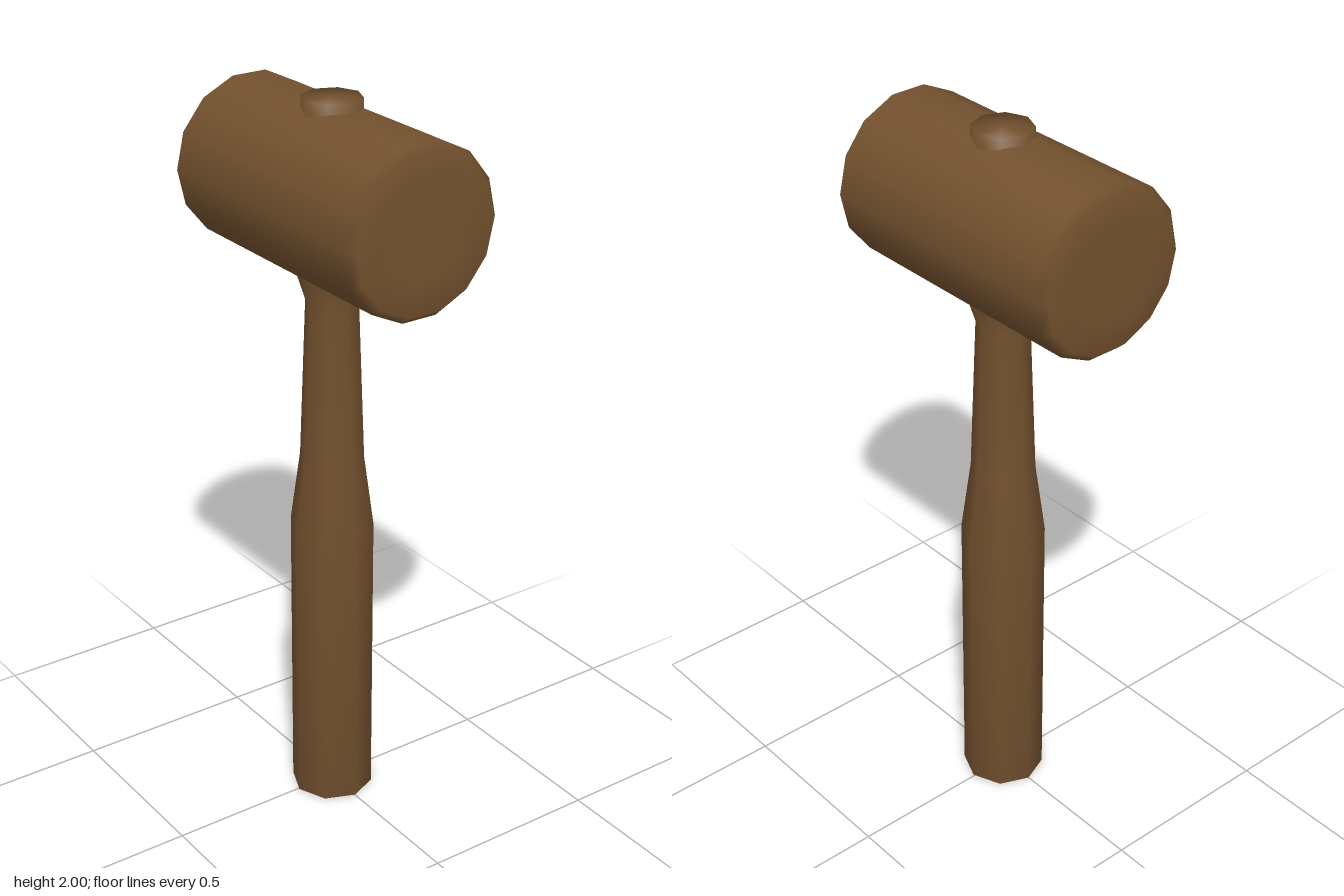
import * as THREE from 'three';

const wood = new THREE.MeshStandardMaterial({ color: 0x73512e });
wood.name = 'brown wood';

// Turned part from [radius, height] pairs listed bottom to top
function turned(name, profile, sides) {
  const points = profile.map(([r, y]) => new THREE.Vector2(r, y));
  const mesh = new THREE.Mesh(new THREE.LatheGeometry(points, sides, Math.PI / 2), wood);
  mesh.name = name;
  return mesh;
}

export function createModel() {
  const group = new THREE.Group();
  group.name = 'mallet';

  // Eight-sided handle: thick grip, slim neck, flared shoulder, peg through the head
  const handle = turned('handle', [
    [0, 0], [0.113, 0], [0.113, 0.83], [0.086, 1.03], [0.07, 1.465],
    [0.09, 1.525], [0.09, 1.57], [0.079, 1.9], [0.079, 2], [0, 2],
  ], 8);
  handle.position.z = 0.004;
  group.add(handle);

  // Fourteen-sided head lying along z, with bevelled striking faces
  const head = turned('head', [
    [0, -0.39], [0.13, -0.39], [0.205, -0.39], [0.225, -0.368],
    [0.225, 0.368], [0.205, 0.39], [0.13, 0.39], [0, 0.39],
  ], 14);
  head.rotation.x = Math.PI / 2;
  head.position.y = 1.755;
  group.add(head);

  return group;
}
